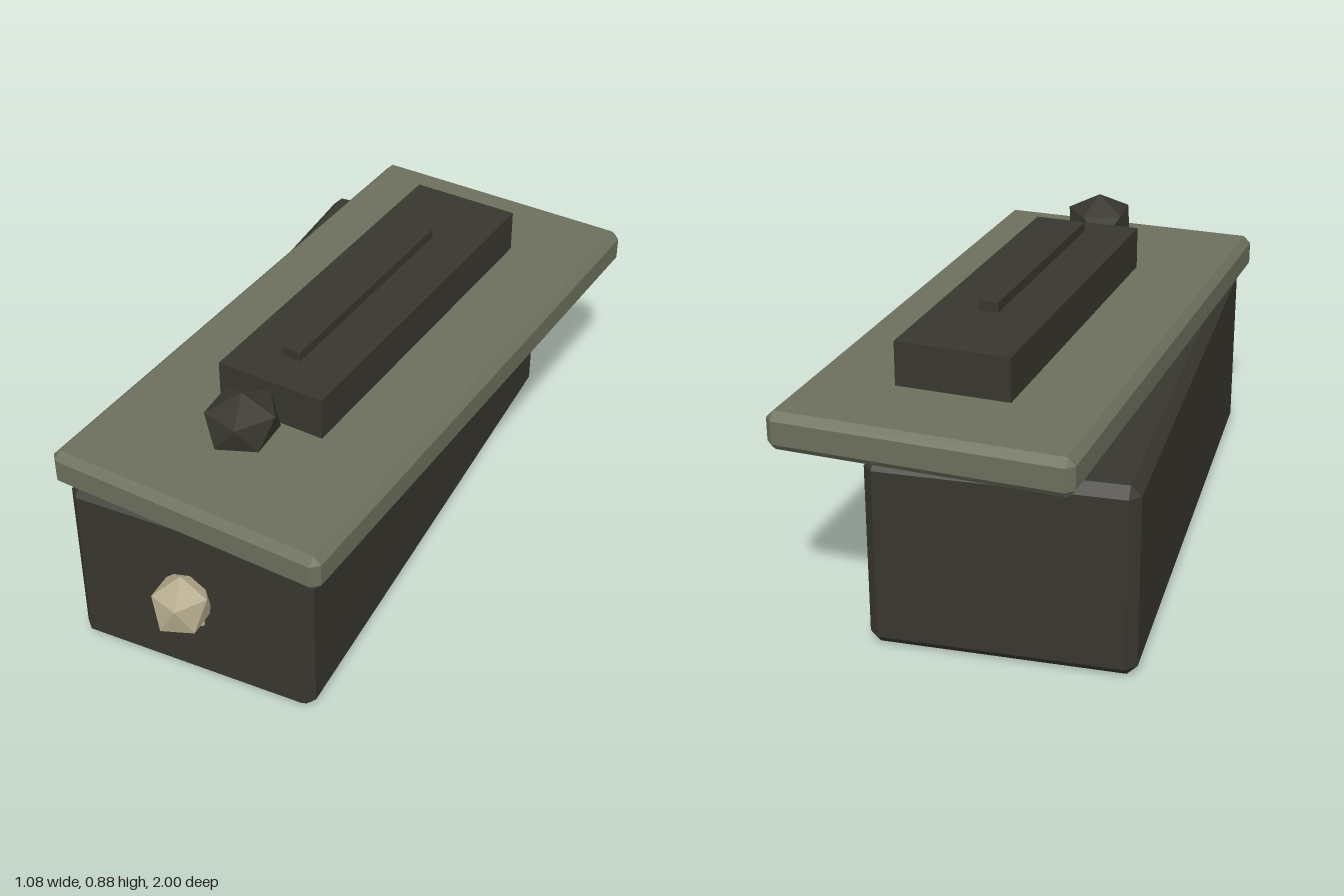
import * as THREE from 'three';
import { ConvexGeometry } from 'three/addons/geometries/ConvexGeometry.js';

// Box with flat chamfers on every edge and corner
function chamferBox(w, h, d, c) {
  const pts = [];
  for (const sx of [-1, 1]) for (const sy of [-1, 1]) for (const sz of [-1, 1]) {
    const x = w / 2, y = h / 2, z = d / 2;
    pts.push(new THREE.Vector3(sx * x, sy * (y - c), sz * (z - c)));
    pts.push(new THREE.Vector3(sx * (x - c), sy * y, sz * (z - c)));
    pts.push(new THREE.Vector3(sx * (x - c), sy * (y - c), sz * z));
  }
  return new ConvexGeometry(pts);
}

// Icosahedron standing on a vertex, stretched along each axis
function faceted(rx, ry, rz) {
  const g = new THREE.IcosahedronGeometry(1, 0);
  g.rotateZ(-Math.atan(2 / (1 + Math.sqrt(5))));
  g.scale(rx, ry, rz);
  return g;
}

export function createModel() {
  const mat = (name, color) => new THREE.MeshStandardMaterial({ name, color, flatShading: true });
  const dark = mat('darkStone', 0x37362e);
  const moss = mat('mossStone', 0x6c6f5c);
  const bone = mat('bone', 0xb5aa8c);

  const model = new THREE.Group();
  model.name = 'stoneCoffin';
  const add = (parent, name, geometry, material, x, y, z) => {
    const mesh = new THREE.Mesh(geometry, material);
    mesh.name = name;
    mesh.position.set(x, y, z);
    parent.add(mesh);
    return mesh;
  };

  // Lower chest
  add(model, 'chest', chamferBox(0.77, 0.58, 1.78, 0.03), dark, -0.115, 0.29, -0.01);

  // Lid slab and its relief, pushed askew
  const lid = new THREE.Group();
  lid.name = 'lid';
  lid.rotation.y = -0.104;
  lid.position.z = -0.013;
  model.add(lid);
  add(lid, 'lidSlab', chamferBox(0.89, 0.116, 1.898, 0.023), moss, 0, 0.638, 0);
  add(lid, 'raisedPanel', new THREE.BoxGeometry(0.347, 0.14, 1.16), dark, 0.007, 0.76, -0.08);
  add(lid, 'ridge', new THREE.BoxGeometry(0.06, 0.03, 0.77), dark, 0.007, 0.855, 0);

  // Carved head on the lid
  add(model, 'lidHead', faceted(0.116, 0.0925, 0.127), dark, -0.057, 0.792, 0.625);

  // Skull and jaw on the front
  add(model, 'skull', faceted(0.093, 0.102, 0.101), bone, -0.118, 0.312, 0.914);
  add(model, 'jaw', chamferBox(0.1, 0.06, 0.08, 0.008), bone, -0.119, 0.237, 0.85);

  return model;
}
